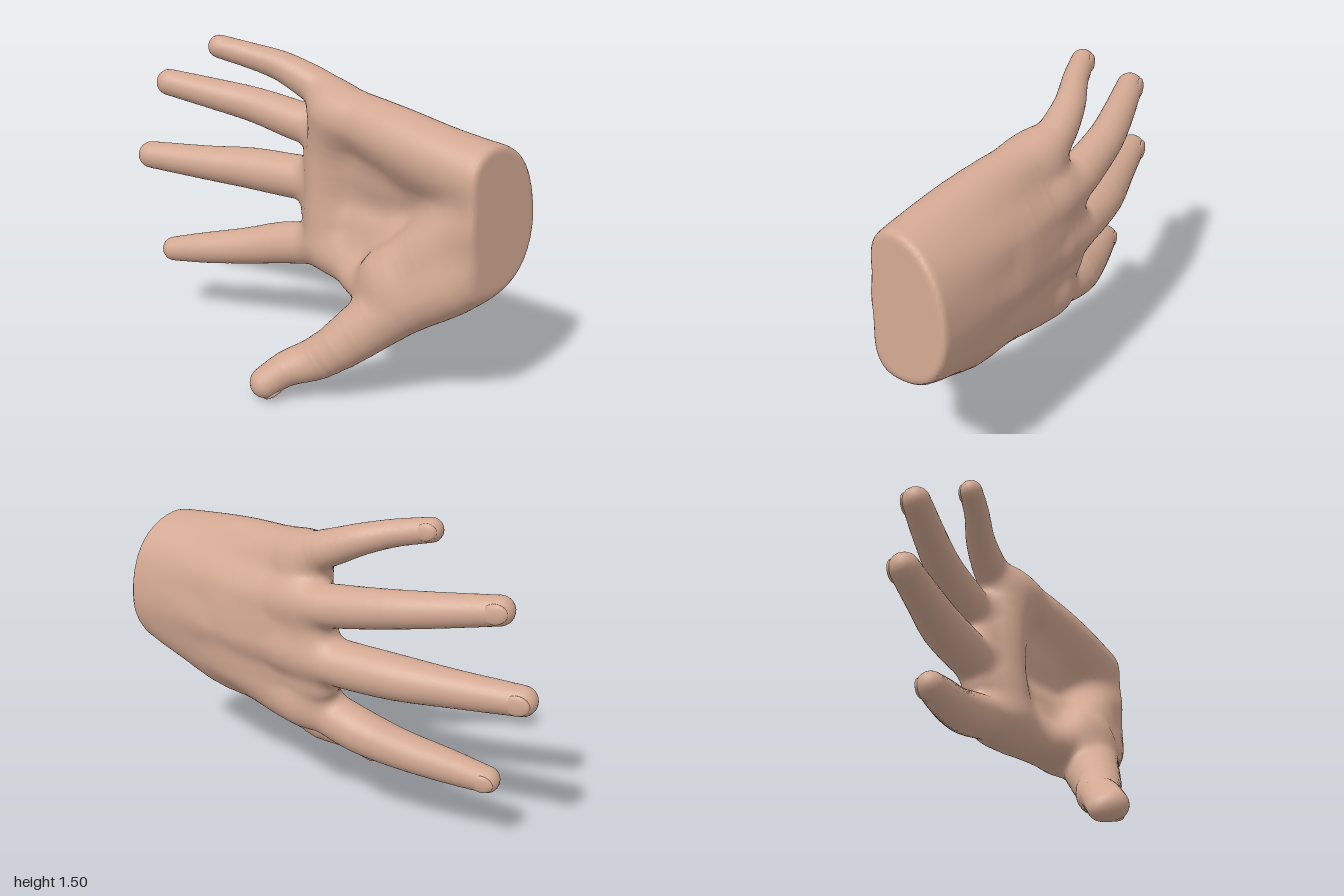
import * as THREE from 'three';

const skin = new THREE.MeshStandardMaterial({ color: 0xd2a892 });
skin.name = 'skin';

// Each part is a set of bone chains; every joint is [x, y, z, radius]
const JOINTS = {
  palm: [
    // metacarpals from the wrist to the knuckles, little finger to index finger
    [[0.15, 1.085, 1.1, 0.14], [0.135, 1.135, 0.75, 0.14], [0.14, 1.18, 0.45, 0.135], [0.16, 1.235, 0.1, 0.11]],
    [[0.22, 1.04, 1.1, 0.165], [0.23, 1.04, 0.5, 0.145], [0.24, 1.07, 0.1, 0.105]],
    [[0.25, 0.92, 1.1, 0.165], [0.27, 0.86, 0.5, 0.13], [0.25, 0.84, 0.1, 0.105]],
    [[0.24, 0.82, 1.1, 0.16], [0.22, 0.67, 0.5, 0.135], [0.2, 0.57, 0.1, 0.11]],
    // heel of the hand running into the ball of the thumb
    [[0.16, 0.97, 1.1, 0.15], [0.12, 0.87, 0.85, 0.13], [0.07, 0.74, 0.68, 0.12], [0.02, 0.62, 0.52, 0.1]],
    // flesh between the metacarpals
    [[0.22, 0.71, 0.45, 0.11], [0.21, 0.71, 0.1, 0.085], [0.22, 0.69, -0.055, 0.055]],
    [[0.24, 0.95, 0.4, 0.11], [0.24, 0.95, 0.1, 0.085], [0.23, 0.95, -0.04, 0.055]],
    // webs between the fingers
    [[0.2, 0.57, 0.0, 0.06], [0.23, 0.83, -0.05, 0.065], [0.22, 1.07, 0, 0.065], [0.16, 1.22, 0.08, 0.06]],
    // pads below the fingers
    [[0.14, 0.58, 0.08, 0.085], [0.15, 0.84, 0.06, 0.09], [0.15, 1.05, 0.08, 0.09], [0.13, 1.2, 0.14, 0.085]],
  ],
  thumb: [
    [[0.16, 0.75, 0.95, 0.13], [0.09, 0.63, 0.8, 0.145], [0.01, 0.49, 0.6, 0.14], [-0.14, 0.28, 0.4, 0.11],
      [-0.215, 0.19, 0.3, 0.084], [-0.29, 0.143, 0.21, 0.071], [-0.356, 0.078, 0.14, 0.068]],
    // broad side of the tip
    [[-0.18, 0.2, 0.3, 0.075], [-0.25, 0.135, 0.18, 0.062], [-0.31, 0.055, 0.095, 0.05]],
    // web to the index finger, palm side and back side
    [[0, 0.57, 0.57, 0.11], [0.04, 0.51, 0.38, 0.085], [0.13, 0.525, 0.2, 0.08], [0.18, 0.54, 0.06, 0.08]],
    [[0.19, 0.7, 0.85, 0.12], [0.16, 0.58, 0.62, 0.125], [0.14, 0.53, 0.42, 0.1], [0.17, 0.53, 0.2, 0.085]],
  ],
  indexFinger: [[[0.2, 0.57, 0.1, 0.1], [0.18, 0.53, -0.05, 0.1], [0.16, 0.488, -0.22, 0.1],
    [0.1, 0.438, -0.4, 0.088], [0.02, 0.395, -0.6, 0.076], [-0.045, 0.362, -0.765, 0.06]]],
  middleFinger: [[[0.25, 0.84, 0.1, 0.1], [0.24, 0.83, -0.05, 0.104], [0.21, 0.822, -0.2, 0.104],
    [0.16, 0.82, -0.42, 0.099], [0.08, 0.815, -0.65, 0.083], [-0.02, 0.815, -0.934, 0.066]]],
  ringFinger: [[[0.24, 1.07, 0.1, 0.1], [0.245, 1.08, -0.05, 0.096], [0.22, 1.1, -0.2, 0.092],
    [0.18, 1.135, -0.4, 0.083], [0.11, 1.165, -0.6, 0.074], [0.02, 1.2, -0.827, 0.063]]],
  littleFinger: [[[0.17, 1.235, 0.1, 0.1], [0.18, 1.29, 0, 0.087], [0.16, 1.335, -0.1, 0.077],
    [0.125, 1.378, -0.2, 0.067], [0.06, 1.415, -0.32, 0.058], [0, 1.445, -0.458, 0.053]]],
};
const names = Object.keys(JOINTS);

// Run a smooth curve through the joints, three bones to each span
function smoothChain(joints) {
  const curve = (points) => new THREE.CatmullRomCurve3(points, false, 'catmullrom', 0.5);
  const path = curve(joints.map((j) => new THREE.Vector3(j[0], j[1], j[2])));
  const radius = curve(joints.map((j) => new THREE.Vector3(j[3], 0, 0)));
  const count = (joints.length - 1) * 3;
  return Array.from({ length: count + 1 }, (_, i) => [...path.getPoint(i / count).toArray(), radius.getPoint(i / count).x]);
}
const PARTS = Object.fromEntries(names.map((name) => [name, JOINTS[name].map(smoothChain)]));

// Smooth minimum: blends two distances over a width k
function blend(a, b, k) {
  const h = Math.max(k - Math.abs(a - b), 0) / k;
  return Math.min(a, b) - h * h * k * 0.25;
}

// Distance to one tapered bone
function bone(x, y, z, a, b) {
  const dx = b[0] - a[0], dy = b[1] - a[1], dz = b[2] - a[2];
  const px = x - a[0], py = y - a[1], pz = z - a[2];
  const t = Math.min(1, Math.max(0, (px * dx + py * dy + pz * dz) / (dx * dx + dy * dy + dz * dz)));
  const qx = px - t * dx, qy = py - t * dy, qz = pz - t * dz;
  return Math.sqrt(qx * qx + qy * qy + qz * qz) - a[3] - t * (b[3] - a[3]);
}

function partDistance(name, x, y, z) {
  let d = 9;
  for (const chain of PARTS[name]) {
    let c = 9;
    for (let i = 1; i < chain.length; i++) c = Math.min(c, bone(x, y, z, chain[i - 1], chain[i]));
    d = blend(d, c, name === 'palm' ? 0.1 : 0.06);
  }
  return d;
}

// Whole hand: blended parts, cut by a slanted plane at the wrist
function field(x, y, z) {
  let d = 9;
  for (const name of names) d = blend(d, partDistance(name, x, y, z), name === 'thumb' ? 0.1 : 0.05);
  const cut = z - 1 + 0.05 * (y - 0.65) + 0.08 * (0.4 - x);
  return -blend(-d, -cut, 0.03);
}

function gradient([x, y, z], e = 0.008) {
  return new THREE.Vector3(
    field(x + e, y, z) - field(x - e, y, z),
    field(x, y + e, z) - field(x, y - e, z),
    field(x, y, z + e) - field(x, y, z - e)).divideScalar(2 * e);
}

// Wrap a quad skin around the field, split into one index list per part
function buildSkin() {
  const step = 0.018, min = [-0.48, -0.04, -1.04], n = [54, 89, 117];
  const stride = [1, n[0], n[0] * n[1]];
  const values = new Float32Array(n[0] * n[1] * n[2]);
  const at = (i, j, k) => i + j * stride[1] + k * stride[2];
  for (let k = 0; k < n[2]; k++) for (let j = 0; j < n[1]; j++) for (let i = 0; i < n[0]; i++)
    values[at(i, j, k)] = field(min[0] + i * step, min[1] + j * step, min[2] + k * step);

  const positions = [], normals = [], vertexOf = new Map();
  // One vertex per cell, pulled onto the surface
  function vertex(cell) {
    if (vertexOf.has(cell)) return vertexOf.get(cell);
    const g = [cell % n[0], Math.floor(cell / n[0]) % n[1], Math.floor(cell / stride[2])];
    const p = g.map((v, a) => min[a] + (v + 0.5) * step);
    for (let pass = 0; pass < 3; pass++) {
      const s = gradient(p), f = field(...p) / Math.max(s.lengthSq(), 0.3);
      p[0] -= s.x * f; p[1] -= s.y * f; p[2] -= s.z * f;
    }
    positions.push(...p);
    normals.push(...gradient(p).normalize().toArray());
    vertexOf.set(cell, positions.length / 3 - 1);
    return positions.length / 3 - 1;
  }

  const lists = Object.fromEntries(names.map((name) => [name, []]));
  for (let k = 1; k < n[2] - 1; k++) for (let j = 1; j < n[1] - 1; j++) for (let i = 1; i < n[0] - 1; i++) {
    const c = at(i, j, k);
    for (let a = 0; a < 3; a++) {
      const inside = values[c] < 0;
      if (inside === values[c + stride[a]] < 0) continue;
      const u = stride[(a + 1) % 3], v = stride[(a + 2) % 3];
      const q = [c - u - v, c - v, c, c - u].map(vertex);
      if (!inside) q.reverse();
      const p = positions.slice(q[0] * 3, q[0] * 3 + 3);
      const distances = names.map((name) => partDistance(name, ...p));
      const owner = names[distances.indexOf(Math.min(...distances))];
      lists[owner].push(q[0], q[1], q[2], q[0], q[2], q[3]);
    }
  }
  return { positions, normals, lists };
}

// Shallow oval nail on the back of a fingertip
function makeNail(name) {
  const [before, tip] = JOINTS[name][0].slice(-2);
  const end = new THREE.Vector3(...tip);
  const forward = end.clone().sub(new THREE.Vector3(...before)).normalize();
  const out = name === 'thumb' ? new THREE.Vector3(0.3, -0.7, 0.5) : new THREE.Vector3(1, 0, 0);
  out.addScaledVector(forward, -out.dot(forward)).normalize();
  const side = out.clone().cross(forward);
  const nail = new THREE.Mesh(new THREE.SphereGeometry(1, 24, 16), skin);
  nail.name = name + 'Nail';
  nail.scale.set(tip[3] * 0.85, tip[3] * 0.7, 0.016);
  nail.quaternion.setFromRotationMatrix(new THREE.Matrix4().makeBasis(forward, side, out));
  nail.position.copy(end).addScaledVector(out, tip[3] - 0.012).addScaledVector(forward, -0.012);
  return nail;
}

export function createModel() {
  const hand = new THREE.Group();
  hand.name = 'hand';
  const { positions, normals, lists } = buildSkin();
  const position = new THREE.Float32BufferAttribute(positions, 3);
  const normal = new THREE.Float32BufferAttribute(normals, 3);
  for (const name of names) {
    const geometry = new THREE.BufferGeometry();
    geometry.setAttribute('position', position);
    geometry.setAttribute('normal', normal);
    geometry.setIndex(lists[name]);
    const mesh = new THREE.Mesh(geometry, skin);
    mesh.name = name;
    hand.add(mesh);
    if (name !== 'palm') hand.add(makeNail(name));
  }
  return hand;
}
